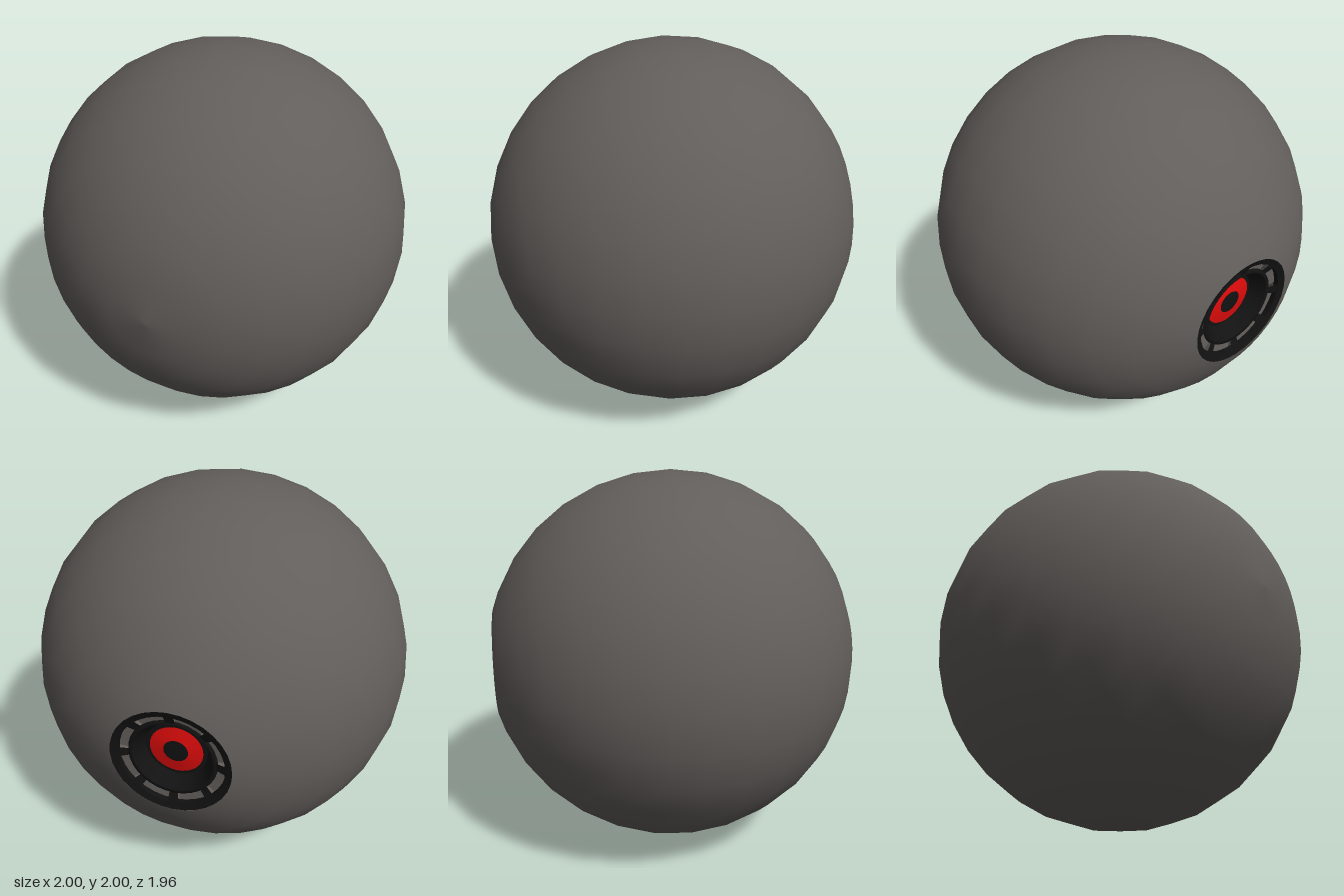
import * as THREE from 'three';

export function createModel() {
  const mat = (name, color, side = THREE.FrontSide) => {
    const m = new THREE.MeshStandardMaterial({ color, side });
    m.name = name;
    return m;
  };
  const shellGrey = mat('shell grey', 0x625e5b, THREE.DoubleSide);
  const black = mat('socket black', 0x121212, THREE.DoubleSide);
  const red = mat('iris red', 0xe00c0c, THREE.DoubleSide);

  // Everything turns around one axis; points are [radius, height], outside to centre
  const body = new THREE.Group();
  body.name = 'eyeball';
  const turn = (name, points, material, segments = 32, start = 0, length = Math.PI * 2, parent = body) => {
    const profile = points.map(([r, h]) => new THREE.Vector2(r, h));
    const mesh = new THREE.Mesh(new THREE.LatheGeometry(profile, segments, start, length), material);
    mesh.name = name;
    parent.add(mesh);
    return mesh;
  };

  // Spherical shell, left open where the eye sits
  const arc = [];
  for (let i = 16; i >= 2; i--) {
    const a = (i * Math.PI) / 16;
    arc.push([i === 16 ? 0 : Math.sin(a), Math.cos(a)]);
  }
  const rim = Math.asin(0.29);
  arc.push([0.29, Math.cos(rim)]);
  turn('shell', arc, shellGrey);

  // Outer rim of the socket
  turn('socketRim', [[0.29, 0.956], [0.255, 0.945]], black);
  turn('socketRimWall', [[0.255, 0.945], [0.255, 0.92]], black);

  // Ring of eight grey windows parted by black spokes
  const windows = new THREE.Group();
  windows.name = 'windowRing';
  body.add(windows);
  const step = Math.PI / 4;
  const spoke = 0.2;
  for (let i = 0; i < 8; i++) {
    const a = i * step;
    turn('window', [[0.256, 0.92], [0.205, 0.915]], shellGrey, 4, a + spoke / 2, step - spoke, windows);
    turn('spoke', [[0.256, 0.944], [0.205, 0.925]], black, 2, a - spoke / 2, spoke, windows);
  }

  // Recessed cup holding the lens
  turn('cupLip', [[0.215, 0.915], [0.21, 0.927], [0.195, 0.925]], black);
  turn('cupWall', [[0.195, 0.925], [0.15, 0.855]], black);
  turn('cupFloor', [[0.15, 0.855], [0, 0.855]], black);

  // Red iris and dark pupil
  turn('iris', [[0.13, 0.86], [0.058, 0.872]], red);
  turn('pupil', [[0.06, 0.872], [0, 0.876]], black, 24);

  // Axis points to the back
  body.rotation.x = -Math.PI / 2;
  body.position.set(0, 1, -0.022);

  const group = new THREE.Group();
  group.name = 'eyeSphere';
  group.add(body);
  return group;
}
